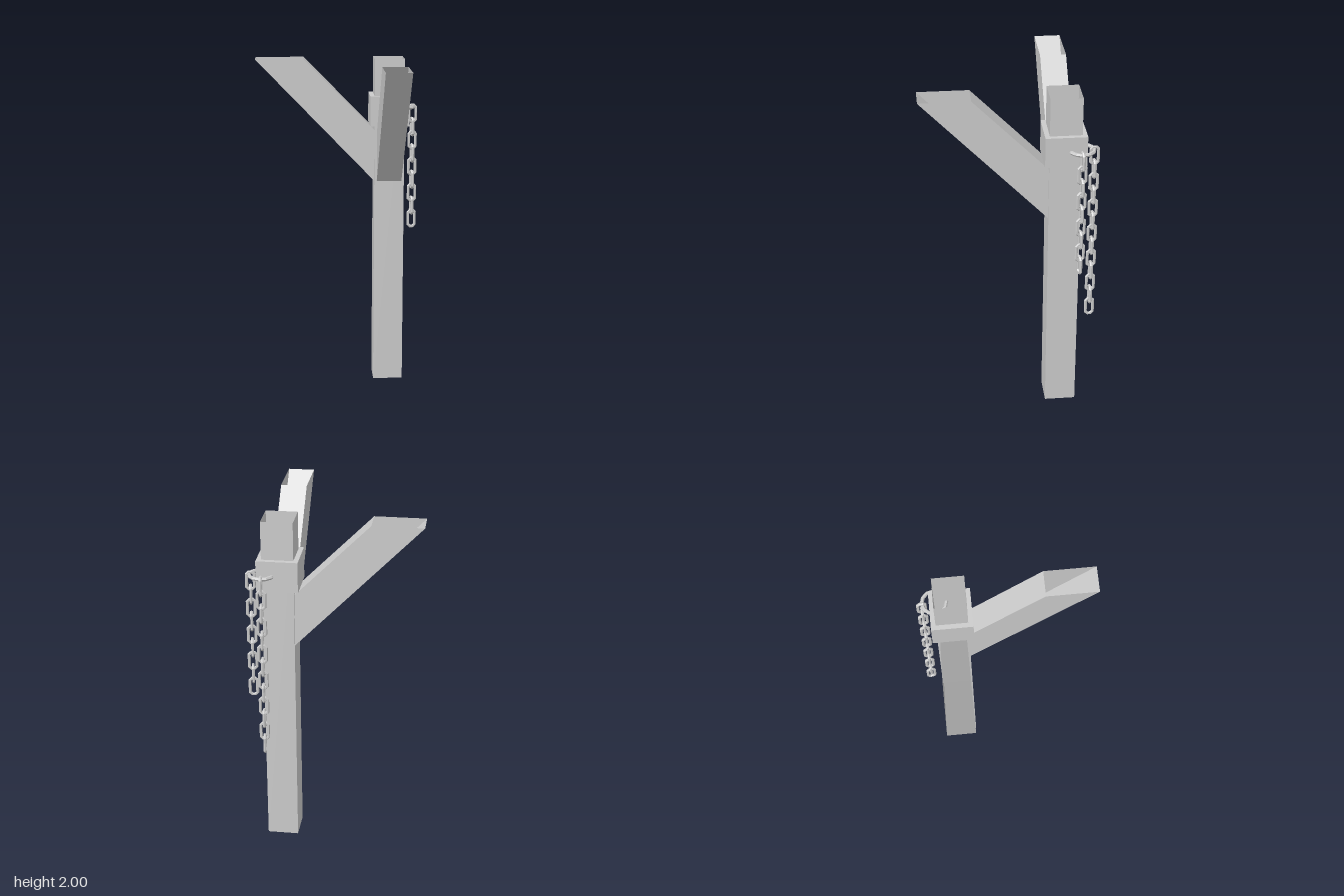
import * as THREE from 'three';

const steel = new THREE.MeshStandardMaterial({ color: 0xcccccc, flatShading: true });
const sheet = new THREE.MeshStandardMaterial({ color: 0xcccccc, flatShading: true, side: THREE.DoubleSide });

function mesh(name, geometry, material) {
  const m = new THREE.Mesh(geometry, material);
  m.name = name;
  return m;
}

// Four thin walls between two four-cornered loops, open at both ends
function openTube(a, b) {
  const pos = [];
  for (let i = 0; i < 4; i++) {
    const j = (i + 1) % 4;
    pos.push(...a[i], ...a[j], ...b[j], ...a[i], ...b[j], ...b[i]);
  }
  const g = new THREE.BufferGeometry();
  g.setAttribute('position', new THREE.Float32BufferAttribute(pos, 3));
  g.computeVertexNormals();
  return g;
}

const squareLoop = (h, y) => [[h, y, h], [h, y, -h], [-h, y, -h], [-h, y, h]];

// Square path, counter-clockwise
function square(PathType, h) {
  return new PathType([[-h, -h], [h, -h], [h, h], [-h, h]].map(p => new THREE.Vector2(...p)));
}

// Elongated octagonal link: a torus pulled apart at its middle
function linkGeometry() {
  const g = new THREE.TorusGeometry(0.023, 0.0095, 6, 8);
  g.rotateZ(Math.PI / 8);
  const p = g.attributes.position;
  for (let i = 0; i < p.count; i++) p.setY(i, p.getY(i) + Math.sign(p.getY(i)) * 0.03);
  g.computeVertexNormals();
  return g;
}

// Hanging chain, each link a quarter turn from the one above
function chain(name, count, x, z, turn) {
  const group = new THREE.Group();
  group.name = name;
  const geometry = linkGeometry();
  for (let i = 0; i < count; i++) {
    const link = mesh('chainLink', geometry, steel);
    link.position.y = -i * 0.0825;
    link.rotation.y = turn + (i % 2) * Math.PI / 2;
    group.add(link);
  }
  group.position.set(x, 1.65, z);
  return group;
}

export function createModel() {
  const model = new THREE.Group();
  model.name = 'postWithBracesAndChains';

  // Everything is laid out around the post's axis
  const post = new THREE.Group();
  post.name = 'postAssembly';
  post.position.set(0.305, 0, -0.302);
  model.add(post);

  const half = 0.09;
  post.add(mesh('post', openTube(squareLoop(half, 0), squareLoop(half, 2)), sheet));

  // Collar around the post
  const ring = square(THREE.Shape, 0.117);
  ring.holes.push(square(THREE.Path, half));
  const collarGeometry = new THREE.ExtrudeGeometry(ring, { depth: 0.18, bevelEnabled: false });
  collarGeometry.rotateX(-Math.PI / 2).translate(0, 1.6, 0);
  post.add(mesh('collar', collarGeometry, steel));

  // Two slanted braces, cut level at the top and upright at the post
  const w = 0.075;
  const slab = (x1, y1, x2, y2) => [[x1, y1, w], [x1, y1, -w], [x2, y2, -w], [x2, y2, w]];
  const braceGeometry = openTube(slab(-half, 1.57, -half, 1.26), slab(-0.515, 2, -0.805, 2));
  ['rightBrace', 'frontBrace'].forEach((name, i) => {
    const brace = mesh(name, braceGeometry, sheet);
    brace.rotation.y = i * Math.PI / 2;
    post.add(brace);
  });

  // Ring through the back corner of the collar
  const chainRing = mesh('chainRing', new THREE.TorusGeometry(0.069, 0.011, 6, 12), steel);
  chainRing.rotation.x = Math.PI / 2;
  chainRing.position.set(0.395, 1.69, -0.391);
  model.add(chainRing);

  // Short and long chains hanging from the ring
  model.add(chain('shortChain', 9, 0.458, -0.387, 0.2));
  model.add(chain('longChain', 13, 0.387, -0.463, Math.PI / 2 + 0.1));

  return model;
}
